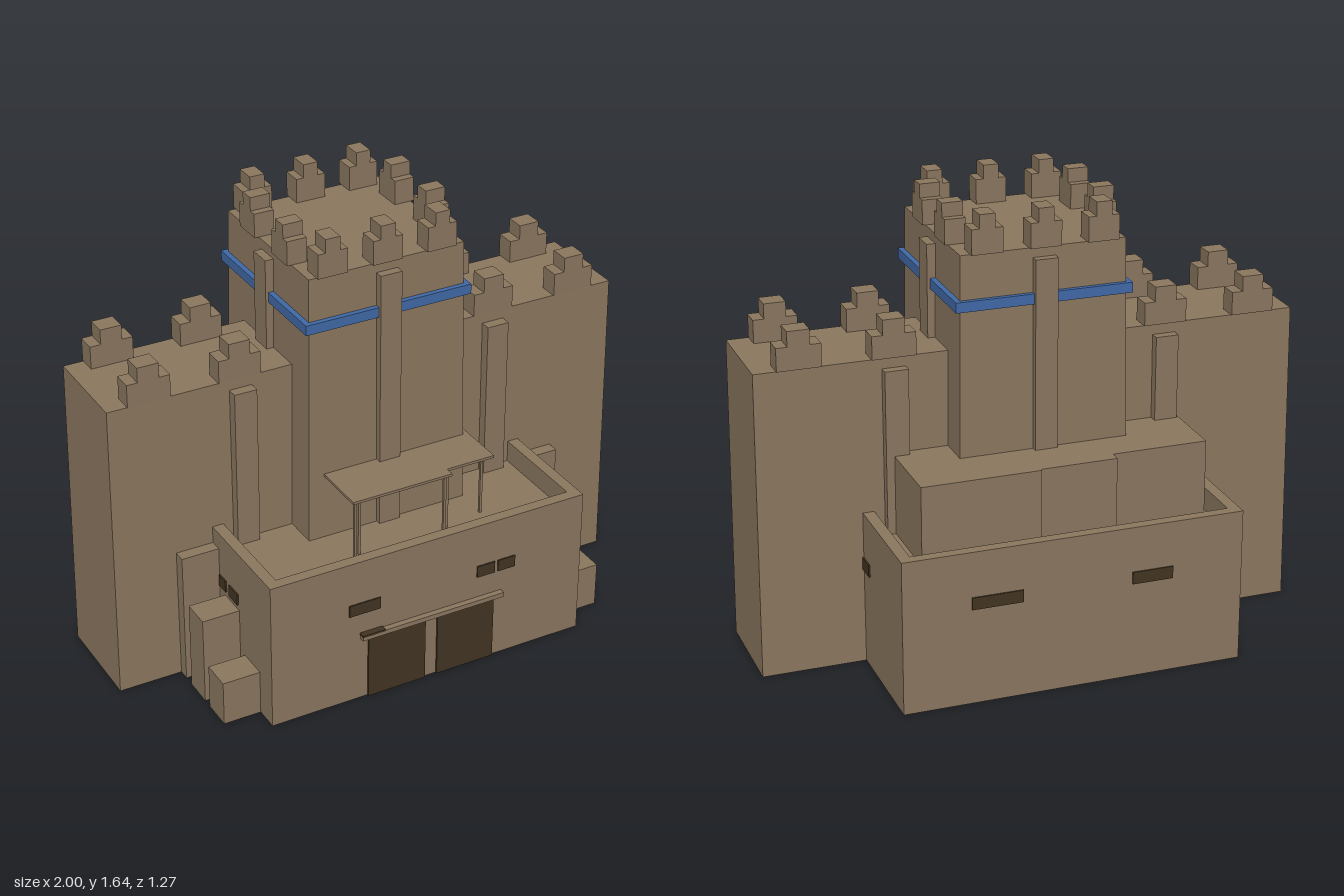
import * as THREE from 'three';

export function createModel() {
  const root = new THREE.Group();
  const mat = (name, color) => {
    const m = new THREE.MeshStandardMaterial({ color, side: THREE.DoubleSide });
    m.name = name;
    return m;
  };
  const stone = mat('stone', 0x8b775f);
  const dark = mat('dark opening', 0x423422);
  const blue = mat('blue band', 0x4169a8);

  // Box from its limits; taper pulls the top inwards, open drops the underside
  function box(name, [x0, x1], [y0, y1], [z0, z1], { m = stone, taper = 0, open = false } = {}) {
    const g = new THREE.BoxGeometry(x1 - x0, y1 - y0, z1 - z0);
    const p = g.attributes.position;
    for (let i = 0; i < p.count; i++) {
      if (p.getY(i) > 0) {
        p.setX(i, p.getX(i) - Math.sign(p.getX(i)) * taper);
        p.setZ(i, p.getZ(i) - Math.sign(p.getZ(i)) * taper);
      }
    }
    if (open) {
      const idx = Array.from(g.index.array);
      idx.splice(18, 6);
      g.setIndex(idx);
      g.clearGroups();
    }
    g.computeVertexNormals();
    const mesh = new THREE.Mesh(g, m);
    mesh.name = name;
    mesh.position.set((x0 + x1) / 2, (y0 + y1) / 2, (z0 + z1) / 2);
    root.add(mesh);
    return mesh;
  }
  const around = (c, w) => [c - w / 2, c + w / 2];

  // Ground storey with a parapet around its sunken roof
  const floor = 0.485;
  box('baseBlock', [-0.622, 0.622], [0, floor], [-0.632, 0.612], { open: true });
  const rect = (S, x, z0, z1) => {
    const s = new S();
    s.moveTo(-x, z0).lineTo(x, z0).lineTo(x, z1).lineTo(-x, z1).closePath();
    return s;
  };
  const ring = rect(THREE.Shape, 0.622, -0.632, 0.612);
  ring.holes.push(rect(THREE.Path, 0.58, -0.592, 0.57));
  const parapet = new THREE.Mesh(
    new THREE.ExtrudeGeometry(ring, { depth: 0.567 - floor, bevelEnabled: false }), stone);
  parapet.geometry.rotateX(Math.PI / 2);
  parapet.geometry.scale(1, 1, 1);
  parapet.position.y = 0.567;
  parapet.name = 'parapet';
  root.add(parapet);

  // Broad wing slab and central tower
  box('wingSlab', [-1, 1], [0, 1.125], [-0.2, 0.178], { taper: 0.008, open: true });
  box('tower', [-0.312, 0.312], [floor, 1.5], [-0.325, 0.303], { taper: 0.014, open: true });

  // Tower pilasters on all four faces
  box('towerPilasterFront', [-0.042, 0.04], [floor, 1.465], [0.2, 0.322]);
  box('towerPilasterBack', [-0.042, 0.04], [floor, 1.465], [-0.342, -0.2]);
  for (const s of [-1, 1])
    box('towerPilasterSide', around(s * 0.29, 0.08), [floor, 1.465], [-0.052, 0.034]);

  // Blue band, one strip per side, broken by the pilasters
  const bandY = [1.305, 1.342];
  for (const s of [-1, 1]) {
    box('bandAcross', [-0.32, 0.32], bandY, around(-0.01 + s * 0.305, 0.03), { m: blue });
    box('bandAlong', around(s * 0.305, 0.03), bandY, [-0.33, 0.31], { m: blue });
  }

  // Stepped merlons: a wide block with a narrow one on top
  function merlon(x, y, z, w, d, h1, h2, alongZ) {
    const place = (name, width, y0, y1) => box(name,
      around(x, alongZ ? d : width), [y0, y1], around(z, alongZ ? width : d));
    place('merlonBase', w, y, y + h1);
    place('merlonCap', w / 2, y + h1, y + h1 + h2);
  }
  for (const z of [0.264, -0.288])
    for (const x of [-0.213, -0.004, 0.206]) merlon(x, 1.5, z, 0.112, 0.075, 0.09, 0.05, false);
  for (const x of [-0.277, 0.272])
    for (const z of [0.11, -0.13]) merlon(x, 1.5, z, 0.112, 0.075, 0.09, 0.05, true);
  for (const x of [-0.838, -0.502, 0.498, 0.832])
    for (const z of [0.137, -0.162]) merlon(x, 1.125, z, 0.158, 0.073, 0.085, 0.055, false);

  // Wing pilasters and stepped buttresses at the sides
  for (const s of [-1, 1]) {
    const px = around(s * 0.499, 0.085);
    box('wingPilasterFront', px, [floor, 1.088], [0.15, 0.21]);
    box('wingPilasterBack', px, [floor, 1.088], [-0.227, -0.15]);
    for (const [h, z0, z1] of [[0.17, 0.408, 0.522], [0.335, 0.262, 0.372], [0.503, 0.17, 0.22]])
      box('buttress', around(s * 0.683, 0.16), [0, h], [z0, z1], { open: true });
  }

  // Stepped rear storey
  for (const [x0, x1, z] of [[-0.55, -0.2, -0.465], [-0.2, 0.08, -0.505], [0.08, 0.512, -0.514]])
    box('rearStorey', [x0, x1], [floor, 0.775], [z, -0.18], { open: true });

  // Terrace canopy on thin posts
  box('canopyWide', [-0.25, 0.14], [0.73, 0.74], [0.2, 0.51]);
  box('canopyNarrow', [0.14, 0.33], [0.73, 0.74], [0.2, 0.475]);
  for (const [x, z] of [[-0.232, 0.49], [-0.198, 0.455], [0.122, 0.49], [0.152, 0.455], [0.31, 0.425]])
    box('canopyPost', around(x, 0.01), [floor, 0.732], around(z, 0.01));

  // Doors and the ledge above them
  box('doorRight', [-0.248, -0.02], [0, 0.25], [0.605, 0.619], { m: dark });
  box('doorLeft', [0.028, 0.258], [0, 0.25], [0.605, 0.619], { m: dark });
  box('doorLedge', [-0.278, 0.29], [0.252, 0.27], [0.6, 0.634]);
  box('ledgePlate', [-0.28, -0.19], [0.268, 0.275], [0.6, 0.637], { m: dark });

  // Slit windows
  const winY = [0.355, 0.4];
  for (const x of [[-0.322, -0.2], [0.188, 0.26], [0.273, 0.343]])
    box('frontWindow', x, winY, [0.607, 0.617], { m: dark });
  for (const x of [[0.19, 0.375], [-0.36, -0.21]])
    box('backWindow', x, winY, [-0.637, -0.627], { m: dark });
  for (const [s, z0, z1] of [[1, 0.3, 0.366], [1, 0.225, 0.275], [1, -0.27, -0.195],
    [-1, 0.3, 0.366], [-1, 0.225, 0.275], [-1, -0.37, -0.2]])
    box('sideWindow', around(s * 0.623, 0.009), winY, [z0, z1], { m: dark });

  return root;
}
